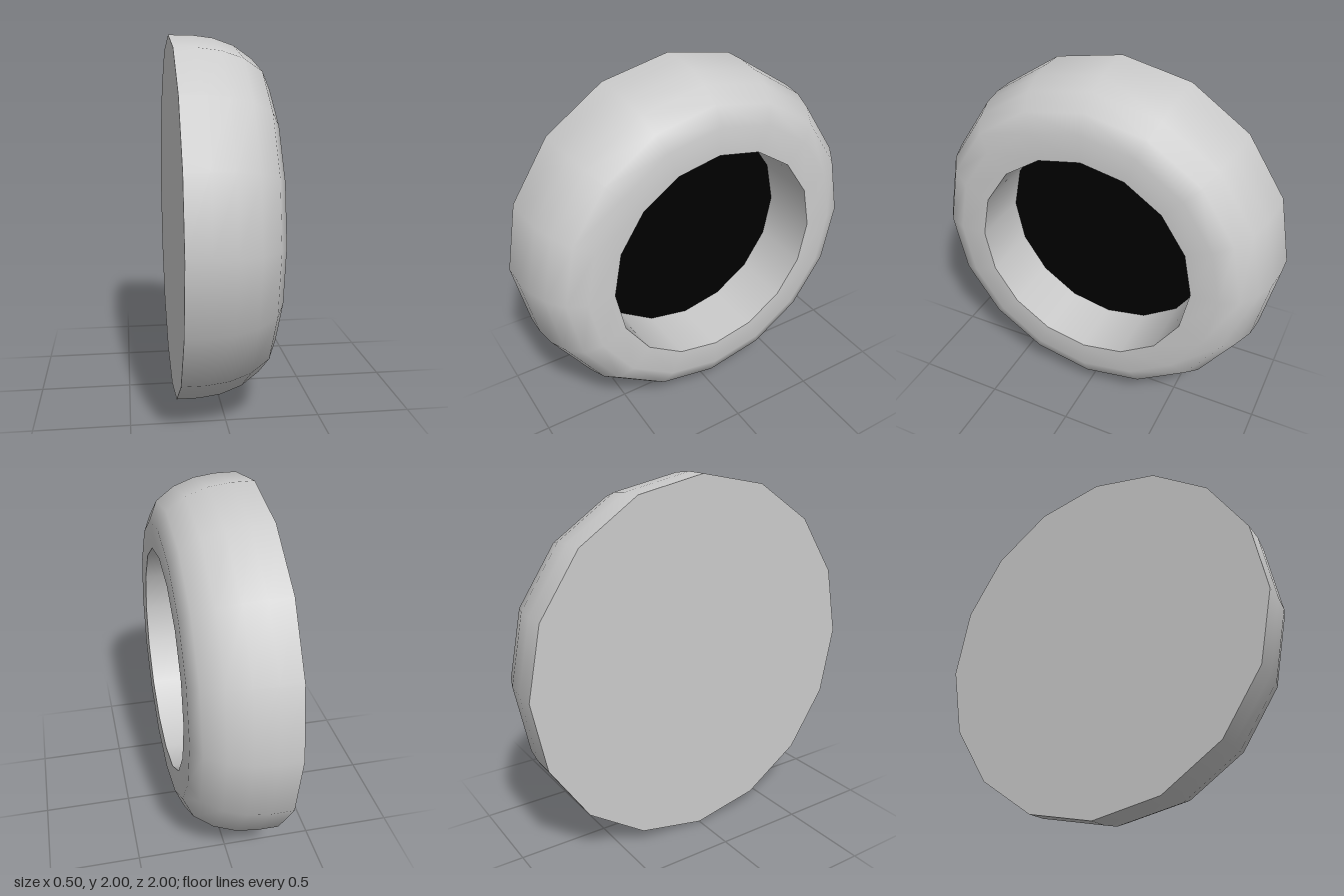
import * as THREE from 'three';

const SIDES = 16;
const OUTER = 1, HOLE = 0.625, HALF = 0.25, FLOOR = -0.095;

export function createModel() {
  const group = new THREE.Group();
  group.name = 'wheel';
  const grey = new THREE.MeshStandardMaterial({ color: 0xcccccc });
  const black = new THREE.MeshStandardMaterial({ color: 0x000000 });

  const add = (name, geometry, material) => {
    const mesh = new THREE.Mesh(geometry, material);
    mesh.name = name;
    mesh.position.y = OUTER;
    group.add(mesh);
  };

  // Surface of revolution about the x axle, from [x, radius] pairs
  const revolve = (profile) => new THREE.LatheGeometry(
    profile.map(([x, r]) => new THREE.Vector2(r, x)), SIDES).rotateZ(-Math.PI / 2);

  // Flat disc across the axle, facing +x (1) or -x (-1)
  const disc = (radius, x, facing) => new THREE.CircleGeometry(radius, SIDES)
    .rotateY(facing * Math.PI / 2).translate(x, 0, 0);

  // Tread, rounded shoulder and side wall
  add('tyre', revolve([
    [-HALF, OUTER], [-0.13, OUTER], [-0.01, 0.985], [0.105, 0.945],
    [0.205, 0.875], [HALF, 0.775], [HALF, HOLE],
  ]), grey);

  // Recess wall and its dark floor
  add('rimWall', revolve([[HALF, HOLE], [FLOOR, HOLE]]), grey);
  add('hubFace', disc(HOLE, FLOOR, 1), black);

  // Flat inner side of the wheel
  add('backFace', disc(OUTER, -HALF, -1), grey);

  return group;
}
